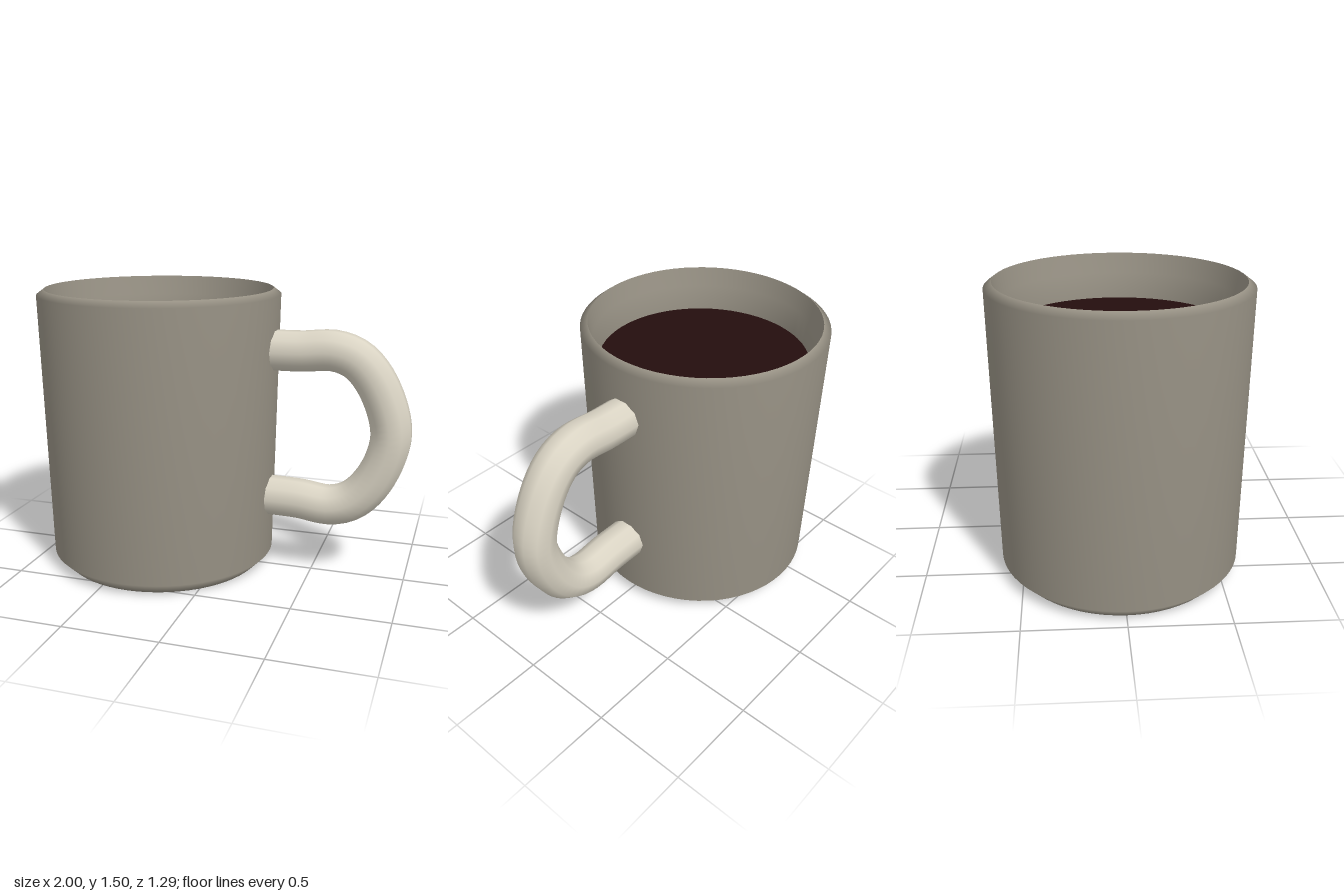
import * as THREE from 'three';

const CENTER_X = -0.355; // axis of the cup

export function createModel() {
  const clay = new THREE.MeshStandardMaterial({ color: 0x989285 });
  clay.name = 'grey clay';
  const cream = new THREE.MeshStandardMaterial({ color: 0xdad4c4 });
  cream.name = 'cream glaze';
  const brew = new THREE.MeshStandardMaterial({ color: 0x240e0e });
  brew.name = 'dark coffee';

  const group = new THREE.Group();
  group.name = 'mug';

  const add = (name, geometry, material, x = 0, y = 0) => {
    const mesh = new THREE.Mesh(geometry, material);
    mesh.name = name;
    mesh.position.set(x, y, 0);
    group.add(mesh);
    return mesh;
  };
  const lathe = (pairs) =>
    new THREE.LatheGeometry(pairs.map(([r, y]) => new THREE.Vector2(r, y)), 64);

  // Outer shell: flat base, chamfered foot, slight taper, bevelled lip
  add('outerWall', lathe([
    [0, 0], [0.55, 0], [0.615, 0.065], [0.645, 1.475], [0.605, 1.505],
  ]), clay, CENTER_X);

  // Inner shell, from the lip down to the floor
  add('innerWall', lathe([
    [0.605, 1.505], [0.585, 1.4], [0.558, 1.27], [0.55, 0.12], [0, 0.1],
  ]), clay, CENTER_X);

  // Drink surface
  const surface = new THREE.CircleGeometry(0.558, 64);
  surface.rotateX(-Math.PI / 2);
  add('coffee', surface, brew, CENTER_X, 1.27);

  // Handle: ten-sided tube along a D-shaped curve
  const path = new THREE.CatmullRomCurve3([
    [0.25, 1.2], [0.42, 1.202], [0.6, 1.212], [0.72, 1.165], [0.83, 1.025],
    [0.897, 0.79],
    [0.83, 0.565], [0.72, 0.43], [0.6, 0.383], [0.42, 0.4], [0.25, 0.405],
  ].map(([x, y]) => new THREE.Vector3(x, y, 0)));
  add('handle', new THREE.TubeGeometry(path, 48, 0.107, 10, false), cream);

  return group;
}
